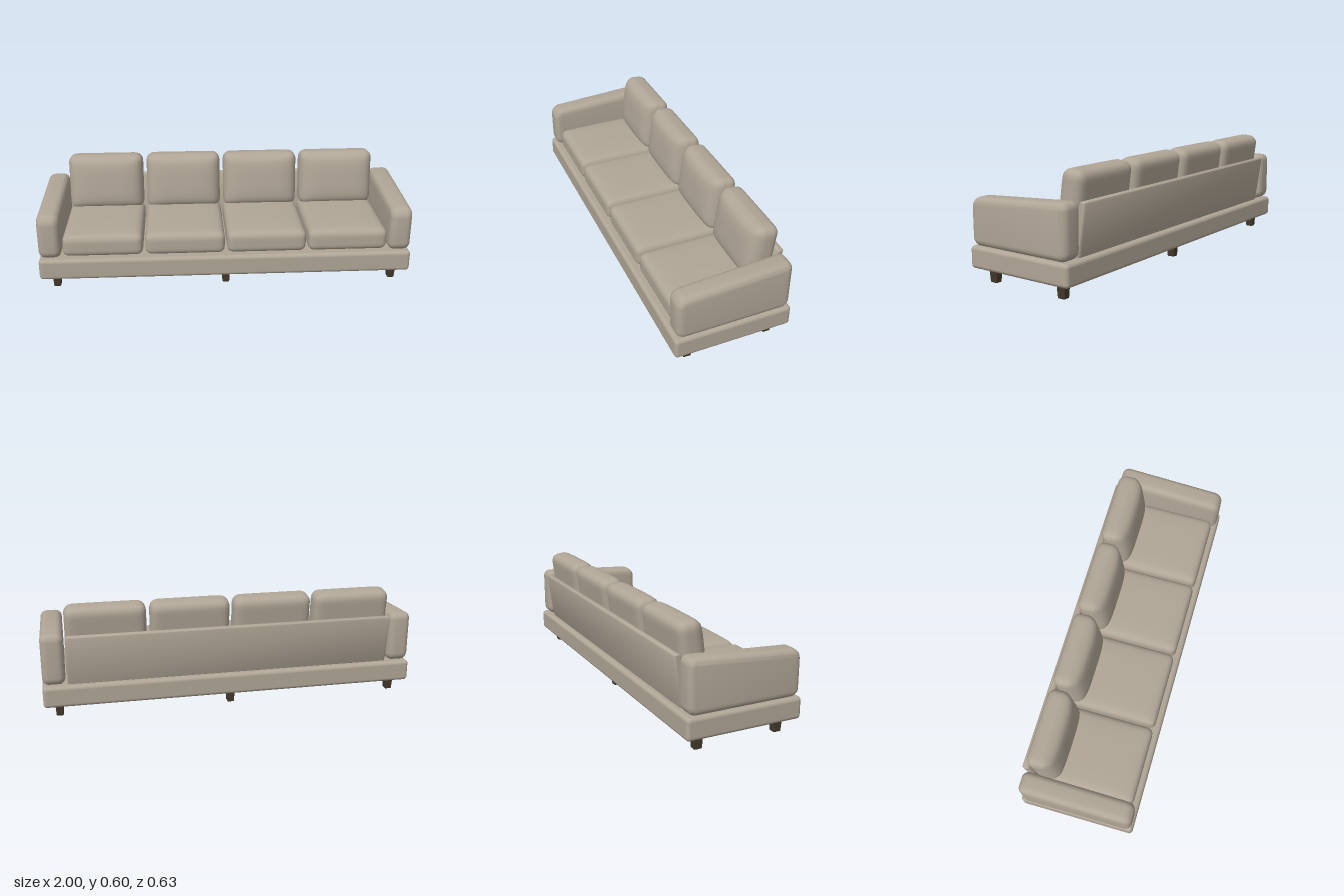
import * as THREE from 'three';
import { mergeVertices, toCreasedNormals } from 'three/addons/utils/BufferGeometryUtils.js';
import { RoundedBoxGeometry } from 'three/addons/geometries/RoundedBoxGeometry.js';

const fabric = new THREE.MeshStandardMaterial({ color: 0xb0a596 });
fabric.name = 'taupe fabric';
const wood = new THREE.MeshStandardMaterial({ color: 0x43392a });
wood.name = 'dark wood';

function add(parent, name, geometry, material, x = 0, y = 0, z = 0) {
  const mesh = new THREE.Mesh(geometry, material);
  mesh.name = name;
  mesh.position.set(x, y, z);
  parent.add(mesh);
  return mesh;
}

// Soft box: a fine box pushed onto rounded edges, then bulged along +axis
function cushion(w, h, d, r, axis, bulge) {
  const n = 20;
  const g = new THREE.BoxGeometry(2, 2, 2, n, n, n);
  g.deleteAttribute('uv');
  g.deleteAttribute('normal');
  const half = new THREE.Vector3(w / 2, h / 2, d / 2);
  const inner = half.clone().subScalar(r);
  const low = inner.clone().negate();
  const pos = g.attributes.position;
  const p = new THREE.Vector3(), c = new THREE.Vector3();
  const warp = t => Math.sign(t) * (1 - (1 - Math.abs(t)) ** 2); // more rows near edges
  for (let i = 0; i < pos.count; i++) {
    p.fromBufferAttribute(pos, i);
    p.set(warp(p.x), warp(p.y), warp(p.z)).multiply(half);
    c.copy(p).clamp(low, inner);
    p.sub(c).setLength(r).add(c);
    const q = p.clone().divide(half);
    const [u, v] = ['x', 'y', 'z'].filter(k => k !== axis).map(k => 1 - q[k] ** 4);
    p[axis] += bulge * u * v * Math.max(0, q[axis]);
    pos.setXYZ(i, p.x, p.y, p.z);
  }
  const out = mergeVertices(g, 1e-5);
  out.computeVertexNormals();
  return out;
}

// Closed outline with rounded corners; each corner is [x, y, radius]
function roundedShape(corners) {
  const s = new THREE.Shape();
  corners.forEach(([x, y, r], i) => {
    const at = new THREE.Vector2(x, y);
    const toward = k => {
      const [a, b] = corners[(k + corners.length) % corners.length];
      return new THREE.Vector2(a, b).sub(at).setLength(r).add(at);
    };
    const a = toward(i - 1), b = toward(i + 1);
    if (i === 0) s.moveTo(a.x, a.y);
    else s.lineTo(a.x, a.y);
    // cubic handles approximate a circular corner
    const ca = a.clone().lerp(at, 0.55), cb = b.clone().lerp(at, 0.55);
    s.bezierCurveTo(ca.x, ca.y, cb.x, cb.y, b.x, b.y);
  });
  s.closePath();
  return s;
}

// Side profile (z, y) extruded across x with soft edges
function sideExtrude(corners, width, bevel) {
  const g = new THREE.ExtrudeGeometry(roundedShape(corners), {
    depth: width - 2 * bevel, bevelThickness: bevel, bevelSize: bevel,
    bevelOffset: -bevel, bevelSegments: 6, curveSegments: 8,
  });
  g.translate(0, 0, -(width - 2 * bevel) / 2);
  g.rotateY(-Math.PI / 2);
  return toCreasedNormals(g, 0.6);
}

// Leg narrowing toward the floor
function legGeometry(w, h, d) {
  const g = new RoundedBoxGeometry(w, h, d, 2, 0.006);
  const pos = g.attributes.position;
  for (let i = 0; i < pos.count; i++) {
    const k = 0.9 + 0.2 * (pos.getY(i) / h);
    pos.setX(i, pos.getX(i) * k);
    pos.setZ(i, pos.getZ(i) * k);
  }
  g.computeVertexNormals();
  return g;
}

export function createModel() {
  const sofa = new THREE.Group();
  sofa.name = 'sofa';

  // Plinth
  add(sofa, 'base', new RoundedBoxGeometry(2, 0.115, 0.625, 5, 0.02), fabric, 0, 0.1325, 0.002);

  // Arms, rising slightly toward the back
  const armGeo = sideExtrude([
    [0.305, 0.19, 0.045], [0.305, 0.432, 0.05], [-0.3, 0.469, 0.04], [-0.3, 0.19, 0.045],
  ].reverse(), 0.118, 0.035);
  add(sofa, 'leftArm', armGeo, fabric, 0.939);
  add(sofa, 'rightArm', armGeo, fabric, -0.939);

  // Leaning back panel
  const backGeo = sideExtrude([
    [-0.238, 0.185, 0.008], [-0.277, 0.457, 0.014], [-0.315, 0.457, 0.014], [-0.276, 0.185, 0.008],
  ], 1.74, 0.01);
  add(sofa, 'backPanel', backGeo, fabric);

  // Seat and back cushions
  const seatGeo = cushion(0.428, 0.118, 0.51, 0.035, 'y', 0.012);
  const backCushionGeo = cushion(0.42, 0.315, 0.122, 0.045, 'z', 0.03);
  for (let i = 0; i < 4; i++) {
    const x = (i - 1.5) * 0.44;
    add(sofa, 'seatCushion', seatGeo, fabric, x, 0.248, 0.027);
    add(sofa, 'backCushion', backCushionGeo, fabric, x, 0.442, -0.211).rotation.x = -0.13;
  }

  // Legs
  const legGeo = legGeometry(0.046, 0.08, 0.052);
  for (const x of [-0.92, 0, 0.92]) {
    for (const z of [-0.218, 0.222]) add(sofa, 'leg', legGeo, wood, x, 0.04, z);
  }
  return sofa;
}
